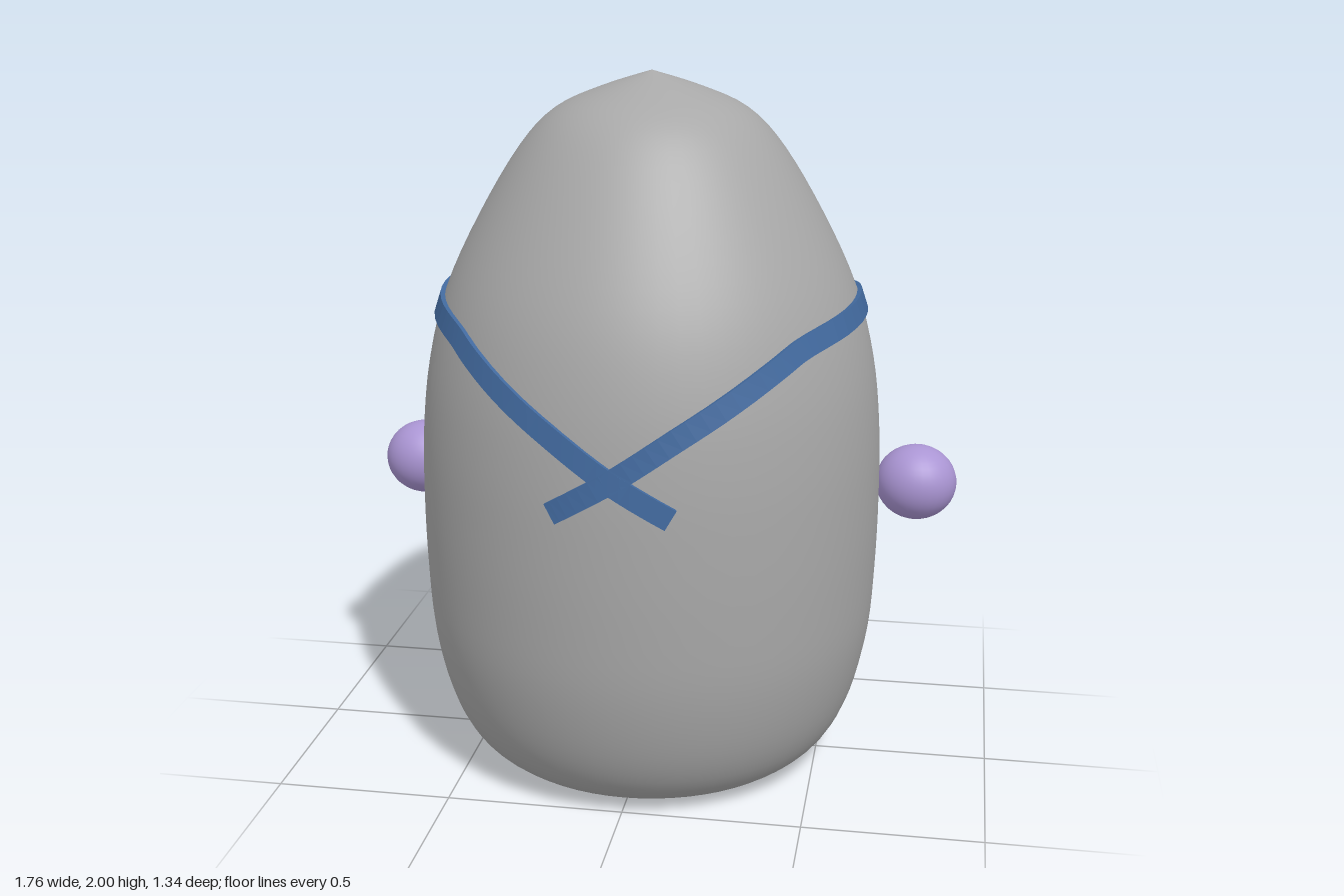
import * as THREE from 'three';

const mat = (name, color) => {
  const m = new THREE.MeshStandardMaterial({ color });
  m.name = name;
  return m;
};

// Body outline as (radius, height)
const OUTLINE = [
  [0.40, 0.005], [0.47, 0.03], [0.545, 0.1], [0.602, 0.22], [0.642, 0.4], [0.656, 0.6],
  [0.66, 0.8], [0.655, 1.0], [0.632, 1.2], [0.579, 1.4], [0.485, 1.6], [0.37, 1.79],
  [0.27, 1.895], [0.14, 1.955], [0, 2.0],
].map(([r, y]) => new THREE.Vector2(r, y));
const PROFILE = new THREE.SplineCurve(OUTLINE).getPoints(56);

function radiusAt(y) {
  const i = Math.max(1, PROFILE.findIndex((p) => p.y >= y));
  const a = PROFILE[i - 1], b = PROFILE[i];
  return THREE.MathUtils.mapLinear(y, a.y, b.y, a.x, b.x);
}

// Point on the body at angle phi (0 = front, PI = face side), raised by lift
function onBody(phi, y, lift = 0) {
  const r = radiusAt(y) + lift;
  return new THREE.Vector3(Math.sin(phi) * r, y, Math.cos(phi) * r);
}

// Bend a geometry modelled flat in xy onto the body surface
function wrap(geo, phi, y) {
  const p = geo.attributes.position;
  const r = radiusAt(y);
  for (let i = 0; i < p.count; i++) {
    const v = onBody(phi + p.getX(i) / r, y + p.getY(i), p.getZ(i));
    p.setXYZ(i, v.x, v.y, v.z);
  }
  geo.computeVertexNormals();
  return geo;
}

// Flat band swept over the body along (phi, y) points
function strapGeometry(side) {
  const path = new THREE.SplineCurve([
    [-0.24, 0.925], [0, 1.02], [0.31, 1.15], [0.71, 1.285], [0.99, 1.34], [1.57, 1.368],
    [1.91, 1.355], [2.29, 1.313], [2.51, 1.255], [2.71, 1.165], [2.83, 1.08],
  ].map(([phi, y]) => new THREE.Vector2(phi * side, y)));
  const n = 64, half = 0.03, rings = [];
  for (let i = 0; i <= n; i++) {
    const t = i / n;
    const at = (u) => { const q = path.getPoint(THREE.MathUtils.clamp(u, 0, 1)); return onBody(q.x, q.y); };
    const c = at(t);
    const tangent = at(t + 0.004).sub(at(t - 0.004)).normalize();
    const slope = (radiusAt(c.y + 0.02) - radiusAt(c.y - 0.02)) / 0.04;
    const normal = new THREE.Vector3(c.x, -slope * Math.hypot(c.x, c.z), c.z).normalize();
    const across = new THREE.Vector3().crossVectors(normal, tangent).normalize();
    rings.push([[-half, -0.01], [half, -0.01], [half, 0.013], [-half, 0.013]].map(([w, h]) =>
      c.clone().addScaledVector(across, w).addScaledVector(normal, h)));
  }
  const verts = [];
  const quad = (a, b, c, d) => [a, b, c, a, c, d].forEach((v) => verts.push(v.x, v.y, v.z));
  for (let i = 0; i < n; i++) {
    for (let k = 0; k < 4; k++) {
      const m = (k + 1) % 4;
      quad(rings[i][k], rings[i][m], rings[i + 1][m], rings[i + 1][k]);
    }
  }
  quad(...[...rings[0]].reverse());
  quad(...rings[n]);
  const geo = new THREE.BufferGeometry();
  geo.setAttribute('position', new THREE.Float32BufferAttribute(verts, 3));
  geo.computeVertexNormals();
  return geo;
}

export function createModel() {
  const grey = mat('body grey', 0xa8a8a8);
  const blue = mat('strap blue', 0x426a9f);
  const purple = mat('hand purple', 0xaa95d3);
  const white = mat('eye white', 0xeeeeee);
  const black = mat('pupil black', 0x1c1c1c);
  const pink = mat('cheek red', 0xdb5068);
  const metal = mat('clip metal', 0xb4b4b4);
  blue.side = THREE.DoubleSide;

  const model = new THREE.Group();
  model.name = 'character';
  const add = (name, geo, material, parent = model) => {
    const m = new THREE.Mesh(geo, material);
    m.name = name;
    parent.add(m);
    return m;
  };

  // Egg-shaped body with a flat base
  add('body', new THREE.LatheGeometry([new THREE.Vector2(0, 0), new THREE.Vector2(0.3, 0), ...PROFILE], 64), grey);

  for (const s of [1, -1]) {
    const side = s > 0 ? 'left' : 'right';

    // Floating round hand on a tiny stub
    const hand = add(side + 'Hand', new THREE.SphereGeometry(1, 32, 20), purple);
    hand.scale.set(0.12, 0.113, 0.11);
    hand.position.set(0.76 * s, 0.77, -0.25);
    const stub = add(side + 'ArmStub', new THREE.CylinderGeometry(0.012, 0.012, 0.08, 10), grey);
    stub.rotation.z = Math.PI / 2;
    stub.position.set(0.62 * s, 0.77, -0.22);

    // Strap over the shoulder and the clip at its end
    add(side + 'Strap', strapGeometry(s), blue);
    const ring = new THREE.TorusGeometry(0.03, 0.007, 6, 4);
    ring.rotateZ(Math.PI / 4).scale(0.9, 1.3, 1);
    add(side + 'Clip', wrap(ring.translate(0, 0, 0.01), s * 2.85, 1.055), metal);

    // Eye, leaning back with the body
    const eye = new THREE.Group();
    eye.name = side + 'Eye';
    eye.position.set(0.172 * s, 1.507, -0.515);
    eye.rotation.set(0.17, -0.25 * s, 0, 'YXZ');
    model.add(eye);
    add(side + 'EyeWhite', new THREE.SphereGeometry(1, 32, 20), white, eye).scale.set(0.123, 0.136, 0.056);
    const pupil = add(side + 'Pupil', new THREE.SphereGeometry(1, 24, 16), black);
    pupil.scale.set(0.06, 0.08, 0.02);
    pupil.rotation.set(0.15, -0.06 * s, 0, 'YXZ');
    pupil.position.set(0.157 * s, 1.493, -0.573);

    // Six-sided cheek
    const cheek = new THREE.CircleGeometry(0.056, 6).scale(1, 0.72, 1).translate(0, 0, 0.006);
    add(side + 'Cheek', wrap(cheek, s * (Math.PI - 0.445), 1.29), pink);
  }

  // Small smile
  const smile = new THREE.QuadraticBezierCurve3(
    new THREE.Vector3(-0.038, 0.012, 0.006), new THREE.Vector3(0, -0.016, 0.006), new THREE.Vector3(0.038, 0.012, 0.006));
  add('mouth', wrap(new THREE.TubeGeometry(smile, 12, 0.006, 6), Math.PI, 1.25), black);

  // Chest patch with a coloured top edge
  const bar = (h, d) => new THREE.BoxGeometry(0.18, h, d, 8, 1, 1).translate(0, 0, d / 2);
  add('chestPatch', wrap(bar(0.09, 0.012), Math.PI, 1.005), blue);
  add('chestPatchTrim', wrap(bar(0.01, 0.014), Math.PI, 1.055), pink);

  return model;
}
